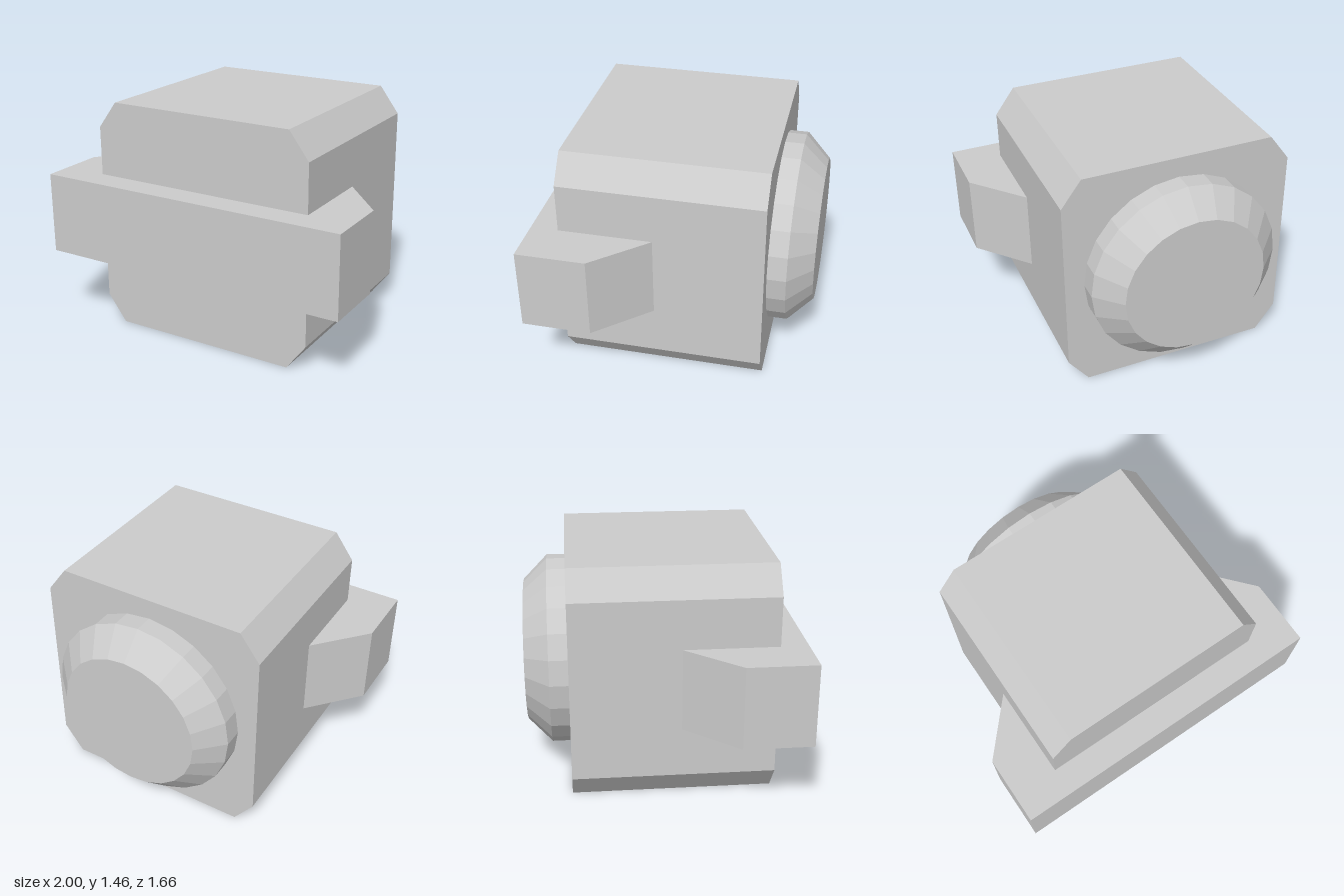
import * as THREE from 'three';

const material = new THREE.MeshStandardMaterial({ color: 0xcccccc, flatShading: true });

// Straight extrusion of a closed outline
function prism(points, depth) {
  const shape = new THREE.Shape(points.map(([x, y]) => new THREE.Vector2(x, y)));
  return new THREE.ExtrudeGeometry(shape, { depth, bevelEnabled: false });
}

export function createModel() {
  const model = new THREE.Group();
  const add = (name, geometry) => {
    const mesh = new THREE.Mesh(geometry, material);
    mesh.name = name;
    model.add(mesh);
  };

  // Block with four chamfered long edges
  const body = prism([
    [-0.595, 0], [0.595, 0], [0.72, 0.167], [0.72, 1.288],
    [0.595, 1.455], [-0.595, 1.455], [-0.72, 1.288], [-0.72, 0.167],
  ], 1.23);
  body.translate(0, 0, -0.567);
  add('body', body);

  // Wide front band tapering back into the sides (outline is x, -z)
  const band = prism([
    [-1, -0.83], [1, -0.83], [1, -0.41], [0.72, -0.093], [-0.72, -0.093], [-1, -0.41],
  ], 0.51);
  band.rotateX(-Math.PI / 2);
  band.translate(0, 0.474, 0);
  add('frontBand', band);

  // Round bevelled cap on the back
  const cap = new THREE.LatheGeometry([
    [0, 0.55], [0.6, 0.55], [0.6, 0.683], [0.45, 0.832], [0, 0.832],
  ].map(([r, h]) => new THREE.Vector2(r, h)), 24);
  cap.rotateX(-Math.PI / 2);
  cap.translate(0, 0.729, 0);
  add('backCap', cap);

  return model;
}
